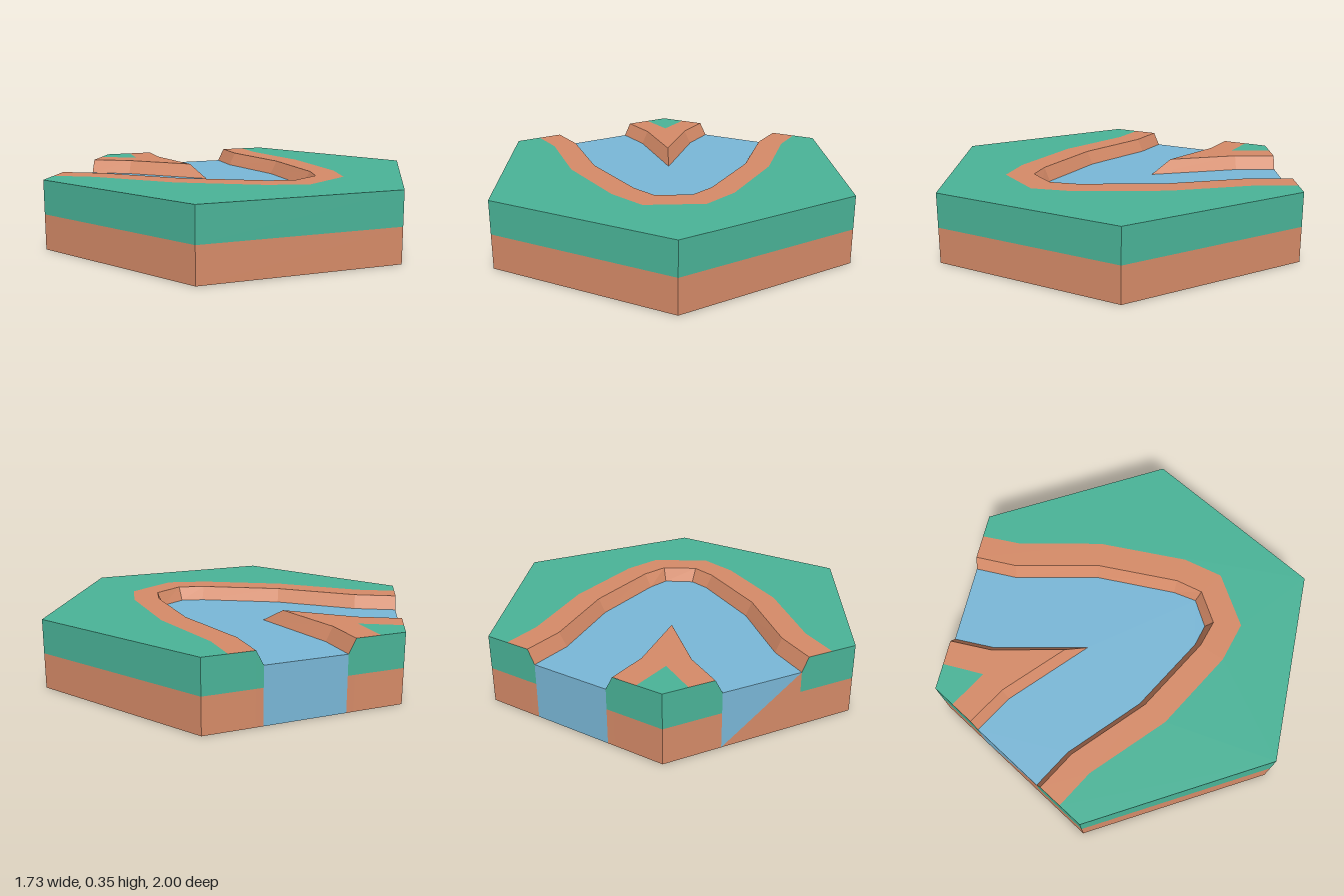
import * as THREE from 'three';

const TOP = 0.35, WATER = 0.28, SEAM = 0.178;
const paint = (name, color) => Object.assign(
  new THREE.MeshStandardMaterial({ color }), { name });

// Horizontal face from [x, z] points, facing up or down
function flat(points, y, up = true) {
  const shape = new THREE.Shape(points.map(([x, z]) => new THREE.Vector2(x, up ? -z : z)));
  return new THREE.ShapeGeometry(shape).rotateX(up ? -Math.PI / 2 : Math.PI / 2).translate(0, y, 0);
}

// Faceted surface from a list of corner triples
function faces(corners) {
  const g = new THREE.BufferGeometry();
  g.setAttribute('position', new THREE.Float32BufferAttribute(corners.flat(), 3));
  g.computeVertexNormals();
  return g;
}

// Band between an upper and a lower line, running left to right seen from outside.
// A point may carry its own height as a third value.
function band(upper, yUpper, lower, yLower) {
  const a = upper.map(([x, z, y = yUpper]) => [x, y, z]);
  const b = lower.map(([x, z]) => [x, yLower, z]);
  const out = [];
  for (let i = 0; i < a.length - 1; i++) {
    out.push(a[i], b[i], a[i + 1], a[i + 1], b[i], b[i + 1]);
  }
  return faces(out);
}

export function createModel() {
  const grass = paint('grass', 0x4ab498);
  const dirt = paint('dirt', 0xd68b68);
  const water = paint('water', 0x7ab8d8);
  const group = new THREE.Group();
  group.name = 'riverTile';
  const add = (name, geometry, material) => {
    const mesh = new THREE.Mesh(geometry, material);
    mesh.name = name;
    group.add(mesh);
  };

  const R = 0.866;
  const corners = [[-R, 0.5], [0, 1], [R, 0.5], [R, -0.5], [0, -1]];
  const westCorner = [-R, -0.5];

  // Outer bend of the river: grass edge, bank top and waterline
  const bendGrass = [[-0.106, -0.939], [-0.005, -0.765], [0.29, -0.437], [0.524, -0.04], [0.58, 0.16],
    [0.434, 0.42], [0.228, 0.47], [-0.217, 0.47], [-0.656, 0.367], [-R, 0.367]];
  const bendTop = [[-0.217, -0.875], [-0.111, -0.685], [0.185, -0.362], [0.402, 0.008], [0.44, 0.146],
    [0.35, 0.304], [0.212, 0.336], [-0.217, 0.336], [-0.646, 0.238], [-R, 0.238]];
  const bendWater = [[-0.249, -0.856], [-0.14, -0.66], [0.153, -0.341], [0.365, 0.024], [0.407, 0.14],
    [0.328, 0.272], [0.215, 0.301], [-0.217, 0.301], [-0.646, 0.204], [-R, 0.204]];

  // Pointed spit inside the bend
  const spitGrass = [[-R, -0.376], [-0.651, -0.376], [-0.751, -0.566]];
  const spitTop = [[-R, -0.246], [-0.646, -0.246], [-0.279, -0.163], [-0.534, -0.442], [-0.64, -0.63]];
  const spitWater = [[-R, -0.209], [-0.646, -0.209], [-0.175, -0.103], [-0.503, -0.463], [-0.608, -0.649]];

  // Top surfaces
  add('grassTop', flat([...bendGrass, ...corners], TOP), grass);
  add('spitGrass', flat([...spitGrass, westCorner], TOP), grass);
  add('bendRim', flat([...bendGrass, ...[...bendTop].reverse()], TOP), dirt);
  add('spitRim', flat([...spitTop, ...[...spitGrass].reverse()], TOP), dirt);
  add('riverSurface', flat([...bendWater, ...spitWater], WATER), water);

  // Sloping banks
  add('bendBank', band(bendTop, TOP, bendWater, WATER), dirt);
  add('spitBank', band(spitTop, TOP, spitWater, WATER), dirt);

  // Side walls, cut down to the waterline where the river leaves the tile
  const wet = ([x, z]) => [x, z, WATER];
  const walls = {
    main: [wet(bendWater.at(-1)), bendTop.at(-1), ...corners, bendTop[0], wet(bendWater[0])],
    spit: [wet(spitWater.at(-1)), spitTop.at(-1), westCorner, spitTop[0], wet(spitWater[0])],
  };
  for (const [name, line] of Object.entries(walls)) {
    const plan = line.map(([x, z]) => [x, z]);
    add(name + 'GrassWall', band(line, TOP, plan, SEAM), grass);
    add(name + 'DirtWall', band(plan, SEAM, plan, 0), dirt);
  }

  // River ends: one all water, one split diagonally between water and dirt
  const northEnd = [bendWater[0], spitWater.at(-1)];
  add('northRiverEnd', band(northEnd, WATER, northEnd, 0), water);
  const [zA, zB] = [-0.209, 0.204];
  add('westRiverEnd', faces([[-R, WATER, zA], [-R, 0, zA], [-R, WATER, zB]]), water);
  add('westDirtEnd', faces([[-R, WATER, zB], [-R, 0, zA], [-R, 0, zB]]), dirt);

  // Underside
  add('underside', flat([...corners, westCorner], 0, false), dirt);
  return group;
}
